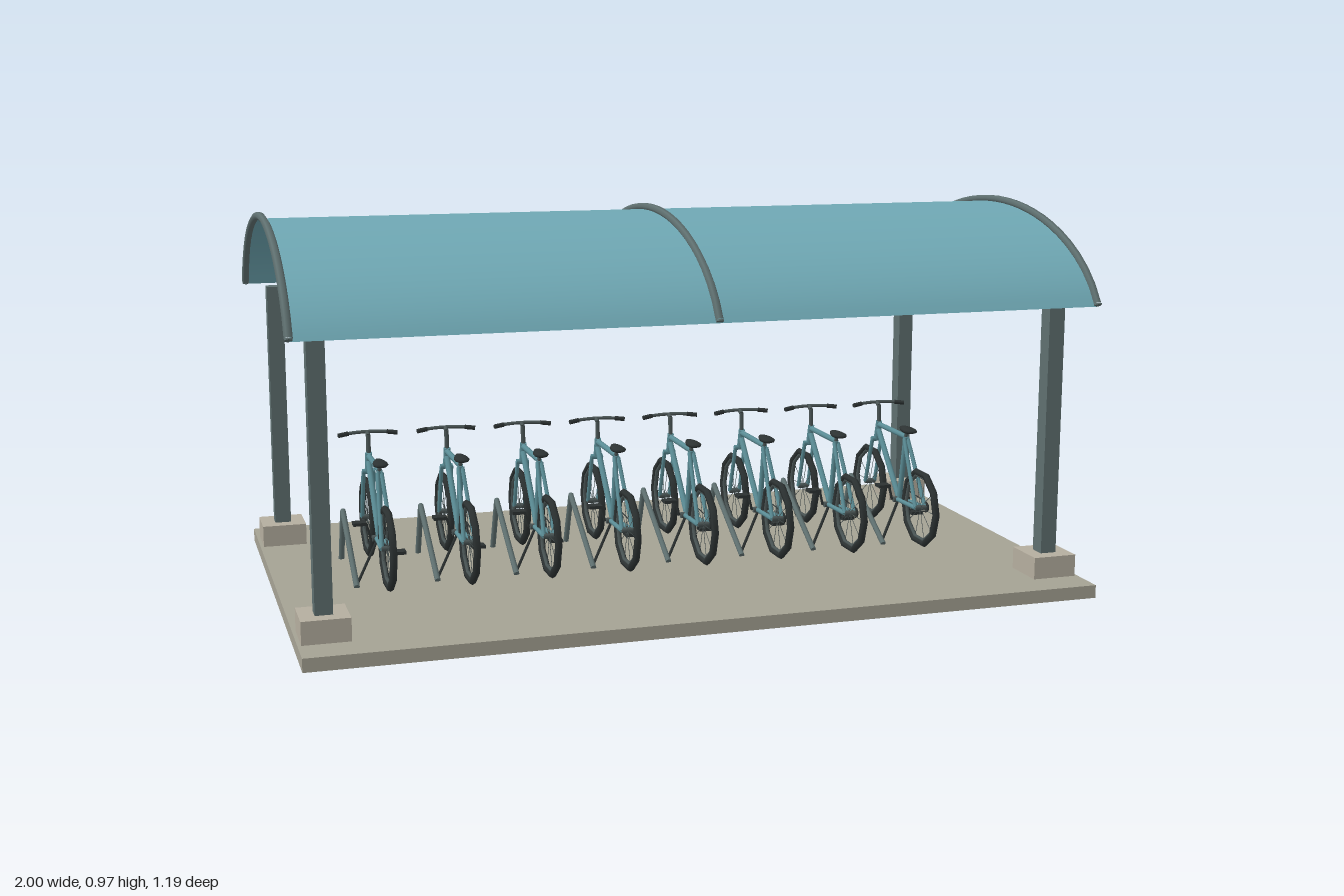
import * as THREE from 'three';

const mat = (color, extra = {}) => new THREE.MeshStandardMaterial({ color, ...extra });
const steel = mat(0x5f7070), concrete = mat(0xa5a294), footingMat = mat(0xb5ae9f);
const glass = mat(0x6fa8b4, { side: THREE.DoubleSide });
const paint = mat(0x5b8d96), dark = mat(0x2c3232), metal = mat(0x4a5555);

function add(parent, name, geometry, material, x = 0, y = 0, z = 0) {
  const mesh = new THREE.Mesh(geometry, material);
  mesh.name = name;
  mesh.position.set(x, y, z);
  parent.add(mesh);
  return mesh;
}

// Straight round bar between two points
function rod(parent, name, a, b, radius, material, sides = 8) {
  const p = new THREE.Vector3(...a), q = new THREE.Vector3(...b);
  const d = q.clone().sub(p);
  const mesh = add(parent, name, new THREE.CylinderGeometry(radius, radius, d.length(), sides), material);
  mesh.position.copy(p).add(q).multiplyScalar(0.5);
  mesh.quaternion.setFromUnitVectors(new THREE.Vector3(0, 1, 0), d.normalize());
  return mesh;
}

function bentTube(parent, name, points, radius, material, segments) {
  const curve = new THREE.CatmullRomCurve3(points.map(p => new THREE.Vector3(...p)));
  return add(parent, name, new THREE.TubeGeometry(curve, segments, radius, 6), material);
}

// Elliptical roof line, t from -1 (back) to 1 (front)
function arch(t, drop = 0) {
  const a = t * Math.asin(0.545 / 0.57);
  return [0, 0.655 + 0.31 * Math.cos(a) - drop, 0.57 * Math.sin(a)];
}

function makeWheel(name, z) {
  const wheel = new THREE.Group();
  wheel.name = name;
  wheel.position.set(0, 0.159, z);
  add(wheel, 'tyre', new THREE.TorusGeometry(0.097, 0.0095, 6, 10), dark).rotation.y = Math.PI / 2;
  add(wheel, 'rim', new THREE.TorusGeometry(0.088, 0.005, 6, 10), metal).rotation.y = Math.PI / 2;
  add(wheel, 'hub', new THREE.CylinderGeometry(0.007, 0.007, 0.03, 8), metal).rotation.z = Math.PI / 2;
  for (let i = 0; i < 10; i++) {
    const a = i * Math.PI / 5;
    rod(wheel, 'spoke', [0, 0, 0], [0, Math.sin(a) * 0.09, Math.cos(a) * 0.09], 0.0009, metal, 3);
  }
  return wheel;
}

function makeBicycle() {
  const bike = new THREE.Group();
  bike.name = 'bicycle';
  bike.add(makeWheel('rearWheel', 0.167), makeWheel('frontWheel', -0.167));

  // Frame
  const crank = [0, 0.152, 0.033], seat = [0, 0.333, 0.066], head = [0, 0.333, -0.113];
  rod(bike, 'topTube', seat, head, 0.0075, paint);
  rod(bike, 'downTube', [0, 0.318, -0.116], crank, 0.008, paint);
  rod(bike, 'seatTube', crank, seat, 0.0075, paint);
  rod(bike, 'headTube', [0, 0.342, -0.112], [0, 0.29, -0.126], 0.009, paint);
  for (const s of [-1, 1]) {
    rod(bike, 'seatStay', [s * 0.005, 0.328, 0.067], [s * 0.014, 0.159, 0.167], 0.0055, paint);
    rod(bike, 'chainStay', [s * 0.007, 0.152, 0.033], [s * 0.014, 0.159, 0.167], 0.006, paint);
    rod(bike, 'forkBlade', [s * 0.013, 0.29, -0.126], [s * 0.014, 0.159, -0.167], 0.0055, paint);
  }
  rod(bike, 'forkCrown', [-0.016, 0.29, -0.126], [0.016, 0.29, -0.126], 0.007, paint);

  // Saddle, narrower toward the nose
  rod(bike, 'seatPost', seat, [0, 0.352, 0.069], 0.005, metal);
  const saddleGeo = new THREE.SphereGeometry(1, 12, 8);
  const pos = saddleGeo.attributes.position;
  for (let i = 0; i < pos.count; i++) pos.setX(i, pos.getX(i) * (0.68 + 0.32 * pos.getZ(i)));
  saddleGeo.computeVertexNormals();
  add(bike, 'saddle', saddleGeo, dark, 0, 0.353, 0.072).scale.set(0.026, 0.009, 0.042);

  // Stem and handlebar
  rod(bike, 'stem', [0, 0.333, -0.114], [0, 0.388, -0.116], 0.006, metal);
  rod(bike, 'stemClamp', [0, 0.386, -0.116], [0, 0.393, -0.13], 0.006, metal);
  bentTube(bike, 'handlebar', [[-0.075, 0.39, -0.116], [-0.045, 0.393, -0.125], [0, 0.394, -0.13],
    [0.045, 0.393, -0.125], [0.075, 0.39, -0.116]], 0.0045, metal, 12);
  for (const s of [-1, 1])
    rod(bike, 'grip', [s * 0.05, 0.3925, -0.124], [s * 0.076, 0.39, -0.116], 0.006, dark);

  // Drivetrain on the +x side
  rod(bike, 'bottomBracket', [-0.018, 0.152, 0.033], [0.024, 0.152, 0.033], 0.008, metal);
  add(bike, 'chainring', new THREE.TorusGeometry(0.026, 0.0025, 4, 12), dark, 0.018, 0.152, 0.033).rotation.y = Math.PI / 2;
  for (let i = 0; i < 5; i++) {
    const a = i * Math.PI * 0.4;
    rod(bike, 'chainringArm', [0.018, 0.152, 0.033],
      [0.018, 0.152 + 0.026 * Math.sin(a), 0.033 + 0.026 * Math.cos(a)], 0.002, dark, 4);
  }
  rod(bike, 'sprocket', [0.016, 0.159, 0.167], [0.02, 0.159, 0.167], 0.013, dark, 10);
  for (const s of [-1, 1]) {
    rod(bike, 'chain', [0.018, 0.152 + s * 0.027, 0.033], [0.018, 0.159 + s * 0.013, 0.167], 0.0018, dark, 4);
    rod(bike, 'crankArm', [s * 0.022, 0.152, 0.033], [s * 0.032, 0.152 - s * 0.041, 0.033], 0.0035, dark, 6);
    add(bike, 'pedal', new THREE.BoxGeometry(0.034, 0.008, 0.03), dark, s * 0.049, 0.152 - s * 0.041, 0.033);
  }

  // Kickstand leaning to -x
  rod(bike, 'kickstand', [-0.006, 0.148, 0.037], [-0.062, 0.045, 0.062], 0.004, dark, 6);
  return bike;
}

// Floor rack: a long sloping bar and a short front leg
function makeRack() {
  const rack = new THREE.Group();
  rack.name = 'bikeRack';
  const top = [0, 0.182, -0.15];
  rod(rack, 'slopingBar', [0, 0.042, 0.08], top, 0.0075, steel);
  rod(rack, 'shortLeg', top, [0, 0.038, -0.21], 0.0075, steel);
  add(rack, 'bend', new THREE.SphereGeometry(0.0075, 8, 6), steel, ...top);
  return rack;
}

export function createModel() {
  const model = new THREE.Group();
  model.name = 'bicycleShelter';

  // Ground slab, footings and posts
  add(model, 'groundSlab', new THREE.BoxGeometry(1.976, 0.033, 1.19), concrete, 0, 0.0225, 0);
  for (const x of [-0.922, 0.922]) for (const z of [-0.446, 0.446]) {
    add(model, 'footing', new THREE.BoxGeometry(0.115, 0.093, 0.115), footingMat, x, 0.0485, z);
    add(model, 'post', new THREE.BoxGeometry(0.042, 0.742, 0.042), steel, x, 0.371, z);
  }

  // Curved roof sheet
  const sheet = new THREE.PlaneGeometry(1.97, 2, 1, 32);
  const pos = sheet.attributes.position;
  for (let i = 0; i < pos.count; i++) {
    const [, y, z] = arch(-pos.getY(i), 0.007);
    pos.setXYZ(i, pos.getX(i), y, z);
  }
  sheet.computeVertexNormals();
  add(model, 'roofSheet', sheet, glass);

  // Arched ribs with closed ends
  for (const x of [-0.988, 0, 0.988]) {
    const points = Array.from({ length: 17 }, (_, i) => arch(i / 8 - 1));
    bentTube(model, 'roofRib', points, 0.01, steel, 24).position.x = x;
    for (const s of [-1, 1]) {
      const [, y, z] = arch(s);
      rod(model, 'ribEnd', [x, y, z], [x, y - 0.0035, z + s * 0.002], 0.01, steel, 6);
    }
  }

  // Row of parked bicycles, each beside a rack
  const bicycle = makeBicycle(), rack = makeRack();
  for (let i = 0; i < 8; i++) {
    const x = -0.728 + i * 0.2043;
    const b = bicycle.clone(), r = rack.clone();
    b.position.x = x;
    r.position.x = x - 0.066;
    model.add(b, r);
  }
  return model;
}
